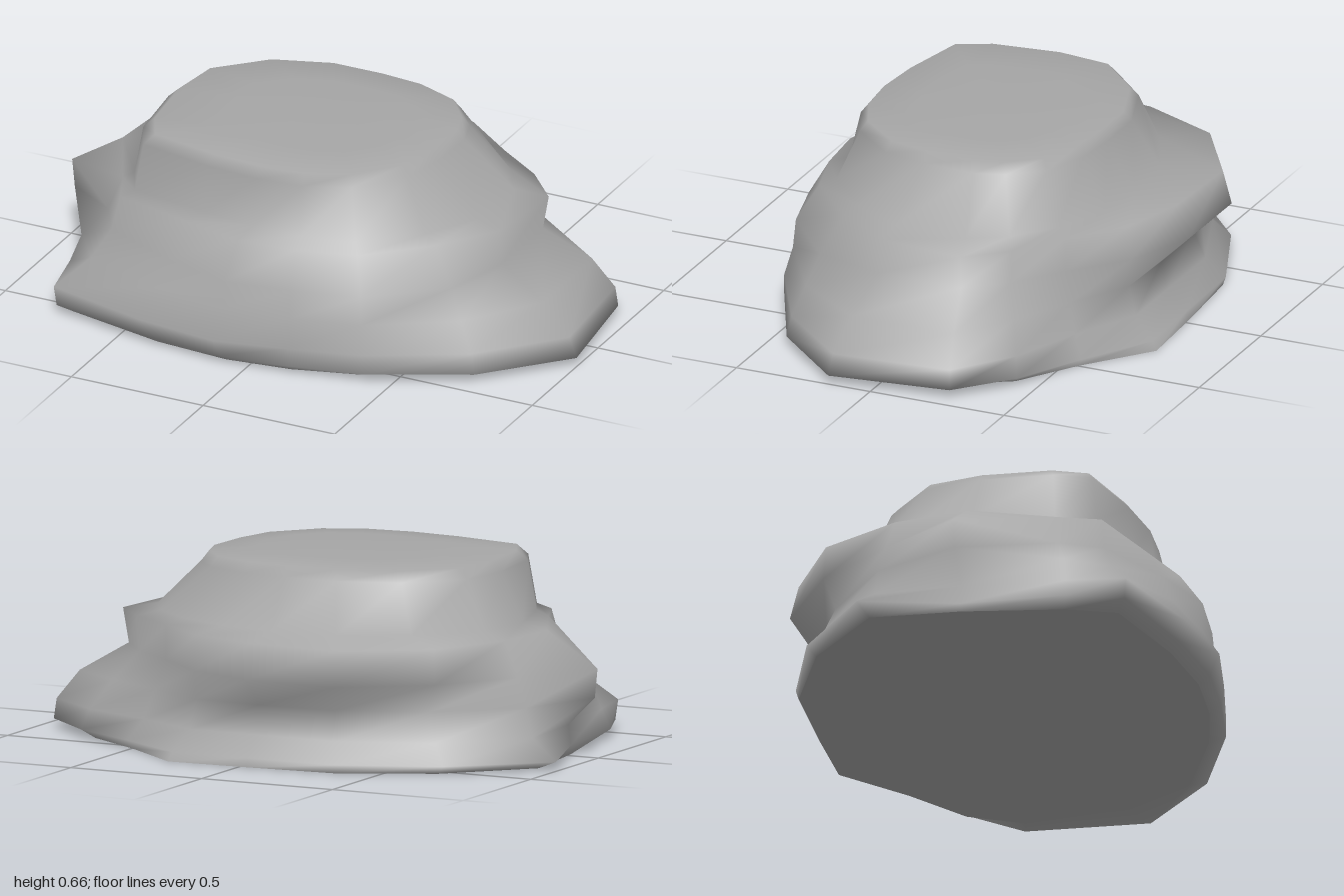
import * as THREE from 'three';

// Directions of the outline corners, in degrees from +x towards +z
const ANGLES = [9, 30, 56, 77, 98, 120, 143, 155, 178, 197, 219, 243, 268, 290, 312, 330, 344];

// Cross-sections: height, then one radius for each direction
const FOOT = { y: 0, r: [.80, .78, .66, .63, .65, .72, .90, .88, .88, .96, .86, .78, .72, .78, .74, .82, .85] };
const SHOULDER = { y: .61, r: [.43, .45, .46, .46, .47, .52, .66, .65, .62, .62, .55, .47, .42, .43, .46, .46, .45] };
const scaled = (ring, y, k) => ({ y, r: ring.r.map((v) => v * k) });

const RINGS = [
  FOOT,
  // flared foot
  { y: .03, r: [1.01, .86, .72, .67, .69, .76, .96, .93, .88, 1.04, .90, .79, .71, .76, .76, .87, .98] },
  { y: .10, r: [.98, .84, .72, .68, .727, .79, .97, .90, .87, .93, .83, .72, .64, .68, .70, .84, .97] },
  // waist
  { y: .20, r: [.87, .78, .69, .65, .66, .72, .84, .86, .97, .90, .78, .68, .62, .65, .66, .76, .89] },
  // overhanging middle layer
  { y: .30, r: [.70, .72, .68, .64, .665, .68, .77, .77, .98, .86, .83, .81, .72, .66, .62, .67, .72] },
  { y: .42, r: [.69, .62, .60, .57, .58, .60, .74, .72, .79, .80, .82, .78, .68, .65, .62, .68, .74] },
  // upper block
  { y: .44, r: [.60, .56, .54, .50, .49, .53, .69, .68, .70, .70, .63, .57, .52, .53, .56, .60, .62] },
  SHOULDER,
  scaled(SHOULDER, .645, .94),
  scaled(SHOULDER, .656, .6),
];

// Skins the rings upwards and closes the last one with a centre point
function loft(rings, apexY, flip = false) {
  const n = ANGLES.length;
  const pos = [];
  const index = [];
  const tri = (a, b, c) => index.push(a, flip ? c : b, flip ? b : c);
  for (const { y, r } of rings) {
    ANGLES.forEach((deg, i) => {
      const a = THREE.MathUtils.degToRad(deg);
      pos.push(r[i] * Math.cos(a), y, r[i] * Math.sin(a));
    });
  }
  pos.push(-.08, apexY, 0);
  for (let k = 0; k < rings.length; k++) {
    for (let i = 0; i < n; i++) {
      const a = k * n + i;
      const b = k * n + (i + 1) % n;
      if (k === rings.length - 1) {
        tri(a, rings.length * n, b);
      } else {
        tri(a, a + n, b);
        tri(b, a + n, b + n);
      }
    }
  }
  const geo = new THREE.BufferGeometry();
  geo.setAttribute('position', new THREE.Float32BufferAttribute(pos, 3));
  geo.setIndex(index);
  geo.computeVertexNormals();
  return geo;
}

export function createModel() {
  const group = new THREE.Group();
  group.name = 'rock';
  const stone = new THREE.MeshStandardMaterial({ color: 0xa6a6a6 });
  stone.name = 'grey stone';

  // Layered body
  const body = new THREE.Mesh(loft(RINGS, .66), stone);
  body.name = 'rockBody';
  // Flat underside
  const base = new THREE.Mesh(loft([FOOT], 0, true), stone);
  base.name = 'underside';

  group.add(body, base);
  return group;
}
